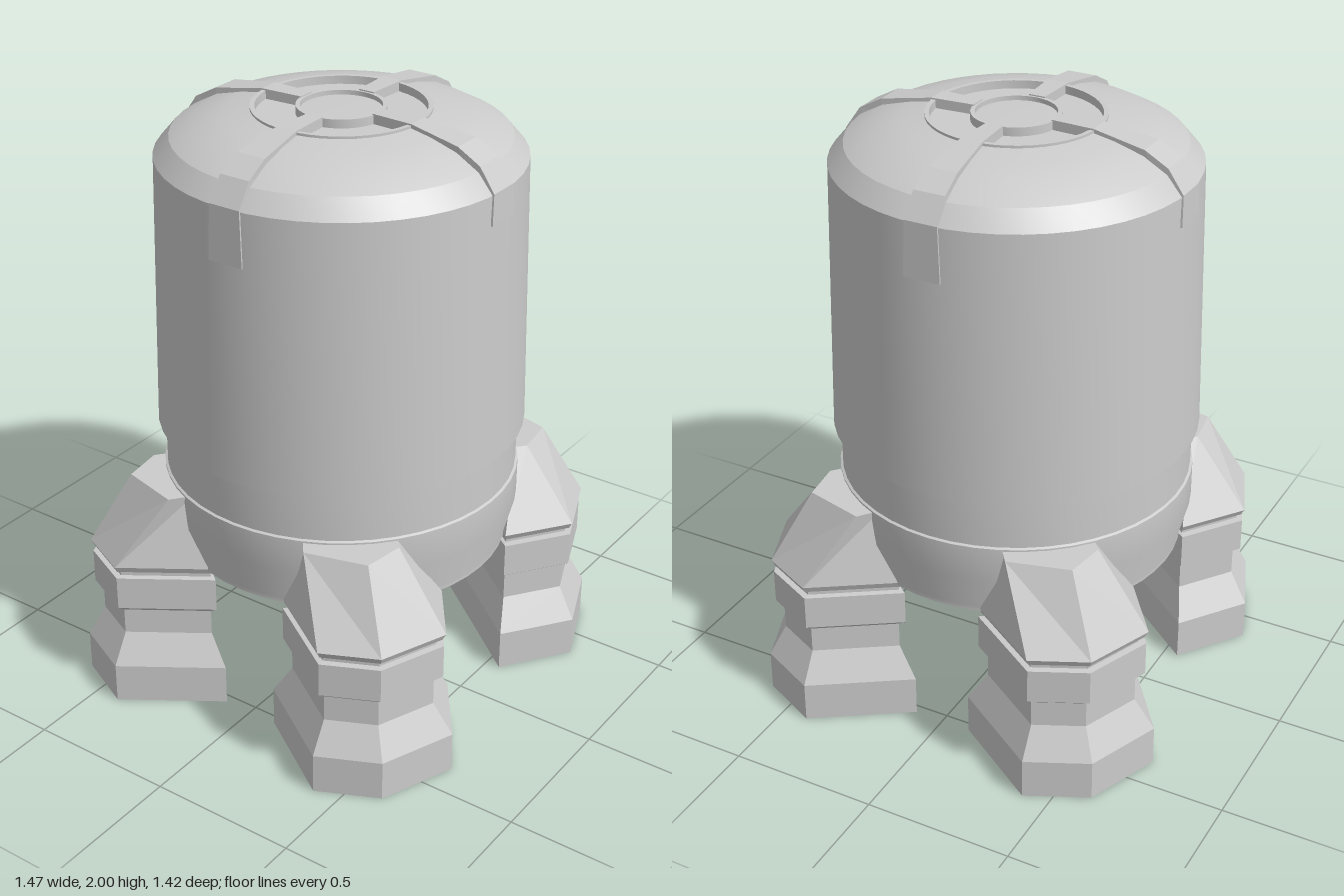
import * as THREE from 'three';
import { toCreasedNormals } from 'three/addons/utils/BufferGeometryUtils.js';

const smooth = new THREE.MeshStandardMaterial({ color: 0xcccccc });
const faceted = new THREE.MeshStandardMaterial({ color: 0xcccccc, flatShading: true });

function add(parent, name, geometry, material) {
  const mesh = new THREE.Mesh(geometry, material);
  mesh.name = name;
  parent.add(mesh);
  return mesh;
}

// Skin a row of closed cross-sections (arrays of [x, y, z]) and cap both ends
function loft(sections, flip = false) {
  const n = sections[0].length;
  const index = [];
  const tri = (a, b, c) => index.push(...(flip ? [a, c, b] : [a, b, c]));
  for (let s = 0; s < sections.length - 1; s++) {
    for (let i = 0; i < n; i++) {
      const a = s * n + i, b = s * n + (i + 1) % n;
      tri(a, b, b + n);
      tri(a, b + n, a + n);
    }
  }
  const last = (sections.length - 1) * n;
  for (let i = 1; i < n - 1; i++) {
    tri(0, i + 1, i);
    tri(last, last + i, last + i + 1);
  }
  const geo = new THREE.BufferGeometry();
  geo.setAttribute('position', new THREE.Float32BufferAttribute(sections.flat(2), 3));
  geo.setIndex(index);
  const flat = geo.toNonIndexed();
  flat.computeVertexNormals();
  return flat;
}

// Turned part from a profile of [radius, height], listed from bottom to top
function lathe(profile, segments = 48) {
  const points = profile.map(([r, y]) => new THREE.Vector2(r, y));
  return toCreasedNormals(new THREE.LatheGeometry(points, segments), 0.35);
}

// Five-sided leg outline in x and z, pointed outwards on the diagonal
const outline = [[0.17, 0.55], [0.39, 0.71], [0.64, 0.61], [0.735, 0.41], [0.53, 0.10]];
const shroudTop = [[0.36, 0.47], [0.39, 0.495], [0.53, 0.475], [0.585, 0.27], [0.52, 0.22]];
const centre = [0.46, 0.41];

function makeLeg(sx, sz) {
  const leg = new THREE.Group();
  leg.name = 'leg';
  const flip = sx * sz < 0;
  const place = (points, y) => points.map(([x, z]) => [sx * x, y, sz * z]);
  const ring = (scale, y) => place(
    outline.map(p => p.map((v, k) => centre[k] + (v - centre[k]) * scale)), y);

  // hollow foot, neck and collar
  add(leg, 'foot', loft([
    ring(0.6, 0.24), ring(0.8, 0), ring(1, 0), ring(1, 0.138), ring(0.78, 0.244),
    ring(0.78, 0.334), ring(0.88, 0.355), ring(0.88, 0.472), ring(0.8, 0.474), ring(0.8, 0.52),
  ], flip), faceted);

  // tapered cover joining the leg to the hull
  add(leg, 'shroud', loft([
    ring(0.86, 0.495), ring(0.9, 0.517), place(shroudTop, 0.766),
  ], flip), faceted);
  return leg;
}

// Band running up the wall and over the dome; wall end height differs by side
function strapGeometry(lowEnd) {
  const path = [
    [0.591, lowEnd, 0.062], [0.588, 1.85, 0.055], [0.535, 1.925, 0.053],
    [0.455, 1.968, 0.05], [0.28, 1.997, 0.036], [0.135, 1.997, 0.028],
  ];
  return loft(path.map(([r, y, w], i) => {
    const inR = i < 3 ? r - 0.04 : r, inY = i < 2 ? y : y - 0.045;
    return [[inR, inY, -w], [inR, inY, w], [r, y, w], [r, y, -w]];
  }));
}

export function createModel() {
  const model = new THREE.Group();
  model.name = 'lander';

  // hull: shallow belly, lower band, main wall and dome with a recessed top
  add(model, 'hull', lathe([
    [0, 0.43], [0.24, 0.43], [0.53, 0.505], [0.56, 0.51], [0.56, 0.525], [0.592, 0.65],
    [0.592, 0.772], [0.584, 0.776], [0.584, 0.94], [0.607, 0.94], [0.586, 1.845],
    [0.535, 1.905], [0.455, 1.948], [0.36, 1.972], [0.283, 1.984], [0.283, 1.992],
    [0.268, 1.992], [0.268, 1.965], [0, 1.965],
  ]), smooth);

  // round hatch in the middle of the top
  add(model, 'hatch', lathe([
    [0.142, 1.96], [0.142, 1.993], [0.128, 1.993], [0.128, 1.978], [0, 1.982],
  ]), smooth);

  // nozzle cone with a stem and a flat plate below
  add(model, 'nozzle', lathe([
    [0, 0.348], [0.05, 0.35], [0.22, 0.408], [0.235, 0.415], [0.235, 0.435],
  ]), smooth);
  add(model, 'stem', lathe([
    [0, 0.318], [0.09, 0.318], [0.09, 0.328], [0.016, 0.328],
    [0.016, 0.342], [0.045, 0.342], [0.045, 0.355],
  ], 24), smooth);

  // four straps over the dome
  for (let i = 0; i < 4; i++) {
    const strap = add(model, 'strap', strapGeometry(i % 2 ? 1.75 : 1.67), faceted);
    strap.rotation.y = i * Math.PI / 2;
  }

  // four legs mirrored across both axes
  for (const sx of [-1, 1]) for (const sz of [-1, 1]) model.add(makeLeg(sx, sz));

  return model;
}
